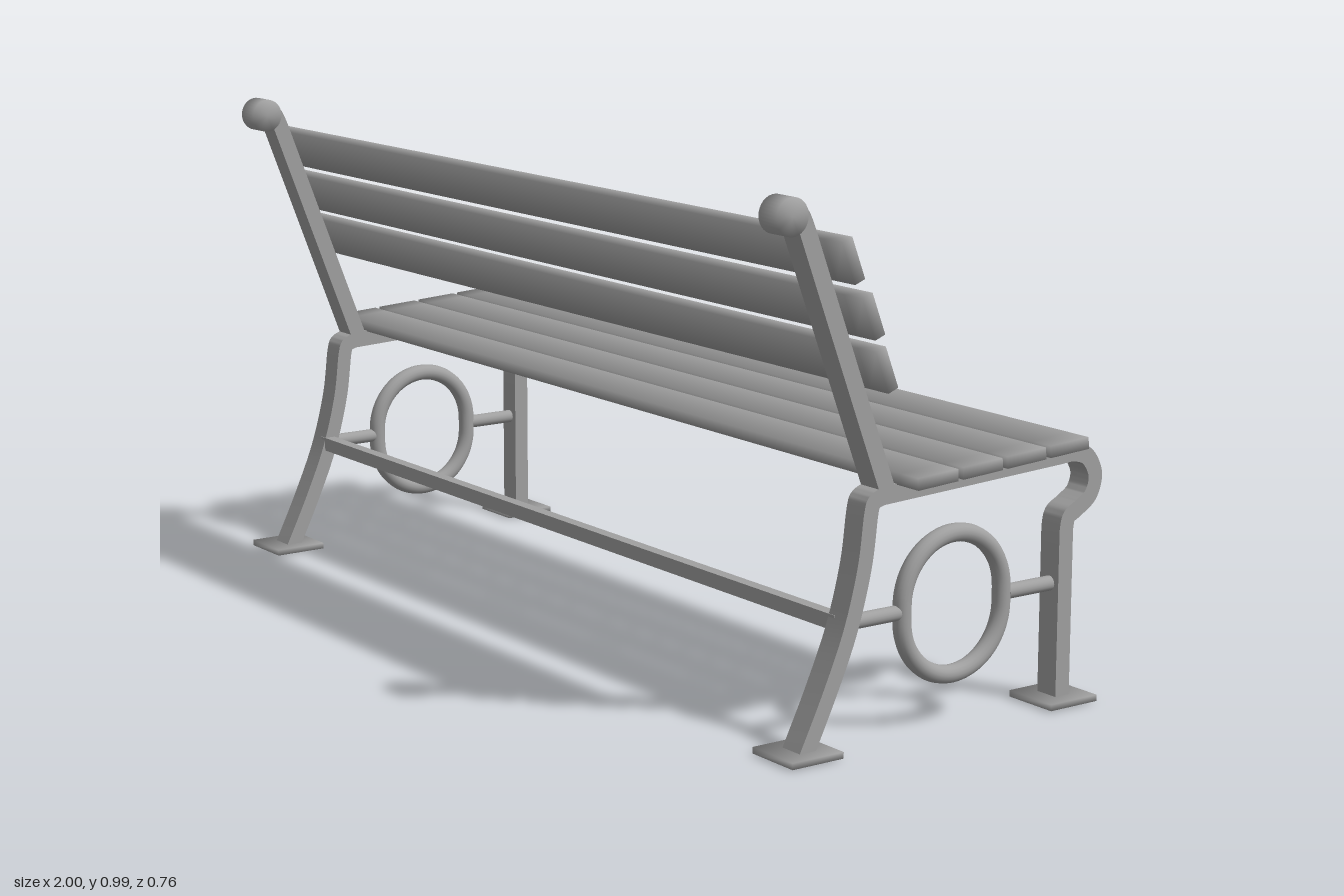
import * as THREE from 'three';
import { toCreasedNormals } from 'three/addons/utils/BufferGeometryUtils.js';

const material = new THREE.MeshStandardMaterial({ color: 0xa0a0a0 }); // dark grey paint
const BAR = 0.049; // width of the frame bars along x

// Soft shading: every corner shares one normal, the mean of the distinct faces meeting there
function soften(geo) {
  const pos = geo.attributes.position, nor = geo.attributes.normal;
  const corners = new Map();
  const keyOf = (i) => [pos.getX(i), pos.getY(i), pos.getZ(i)].map((c) => Math.round(c * 1e4)).join();
  for (let i = 0; i < pos.count; i++) {
    const n = new THREE.Vector3().fromBufferAttribute(nor, i);
    const key = keyOf(i);
    if (!corners.has(key)) corners.set(key, []);
    const list = corners.get(key);
    if (!list.some((m) => m.dot(n) > 0.85)) list.push(n);
  }
  for (let i = 0; i < pos.count; i++) {
    const sum = new THREE.Vector3();
    corners.get(keyOf(i)).forEach((n) => sum.add(n));
    sum.normalize();
    nor.setXYZ(i, sum.x, sum.y, sum.z);
  }
  return geo;
}

function part(name, geometry, parent, x = 0, y = 0, z = 0) {
  const mesh = new THREE.Mesh(geometry, material);
  mesh.name = name;
  mesh.position.set(x, y, z);
  parent.add(mesh);
  return mesh;
}

const v = (z, y) => new THREE.Vector2(z, y);
const smooth = (pts, n) => new THREE.SplineCurve(pts).getPoints(n);

// Flat bar of constant thickness following (z, y) centre points, extruded along x
function bar(points, thickness) {
  const left = [], right = [];
  points.forEach((p, i) => {
    const a = points[Math.max(i - 1, 0)], b = points[Math.min(i + 1, points.length - 1)];
    const t = b.clone().sub(a).normalize();
    const n = new THREE.Vector2(-t.y, t.x).multiplyScalar(thickness / 2);
    left.push(p.clone().add(n));
    right.push(p.clone().sub(n));
  });
  const shape = new THREE.Shape([...left, ...right.reverse()]);
  const geo = new THREE.ExtrudeGeometry(shape, { depth: BAR, bevelEnabled: false });
  geo.translate(0, 0, -BAR / 2).rotateY(-Math.PI / 2);
  return toCreasedNormals(geo, 0.6);
}

// Round tube bent into an oval with short straight sides
function ovalRing() {
  const points = [];
  for (let i = 0; i < 48; i++) {
    const a = ((i + 0.5) / 48) * Math.PI * 2;
    const y = 0.221 + 0.116 * Math.sin(a) + 0.014 * Math.sign(Math.sin(a));
    points.push(new THREE.Vector3(0, y, -0.042 + 0.116 * Math.cos(a)));
  }
  return new THREE.TubeGeometry(new THREE.CatmullRomCurve3(points, true), 96, 0.017, 16, true);
}

function sideFrame() {
  const frame = new THREE.Group();

  // Curved rear leg, rounding over into the seat rail
  const rearLeg = smooth([v(0.305, 0.005), v(0.254, 0.11), v(0.21, 0.215), v(0.18, 0.325),
    v(0.167, 0.42), v(0.158, 0.44), v(0.137, 0.447)], 40);
  part('rearLeg', bar(rearLeg, 0.032), frame);

  // Seat rail, front curl and straight front leg
  const curl = smooth([v(-0.285, 0.467), v(-0.31, 0.467), v(-0.34, 0.455), v(-0.359, 0.42), v(-0.349, 0.384),
    v(-0.32, 0.363), v(-0.297, 0.349), v(-0.291, 0.325)], 48);
  const rail = [v(0.14, 0.447), v(-0.27, 0.466), ...curl, v(-0.291, 0.3), v(-0.291, 0.005)];
  part('seatRailAndFrontLeg', bar(rail, 0.033), frame);

  // Sloping back post with a rolled top
  const post = [v(0.128, 0.447), v(0.313, 0.926), ...smooth([v(0.319, 0.94), v(0.328, 0.955), v(0.343, 0.964)], 8)];
  part('backPost', bar(post, 0.034), frame);
  const roll = new THREE.CylinderGeometry(0.034, 0.034, BAR + 0.001, 32).rotateZ(Math.PI / 2);
  part('postRoll', soften(roll), frame, 0, 0.953, 0.346);

  // Oval ring and the two rods that hold it
  part('ovalRing', ovalRing(), frame);
  for (const [name, z0, z1] of [['rearRod', 0.085, 0.212], ['frontRod', -0.285, -0.168]]) {
    const rod = new THREE.CylinderGeometry(0.014, 0.014, z1 - z0, 20).rotateX(Math.PI / 2);
    part(name, rod, frame, 0, 0.223, (z0 + z1) / 2);
  }

  // Foot plates
  for (const [name, z] of [['rearFoot', 0.304], ['frontFoot', -0.291]])
    part(name, soften(new THREE.BoxGeometry(0.114, 0.012, 0.112)), frame, 0, 0.006, z);
  return frame;
}

export function createModel() {
  const bench = new THREE.Group();
  bench.name = 'bench';

  for (const [name, x] of [['leftFrame', 0.908], ['rightFrame', -0.908]]) {
    const frame = sideFrame();
    frame.name = name;
    frame.position.x = x;
    bench.add(frame);
  }

  // Seat slats, rising slightly towards the front edge
  for (let i = 0; i < 4; i++) {
    const slat = part('seatSlat', soften(new THREE.BoxGeometry(1.99, 0.022, 0.091, 40)), bench,
      -0.004, 0.477 + i * 0.0062, 0.066 - i * 0.102);
    slat.rotation.x = 0.058;
  }

  // Back slats, leaning with the posts
  for (let i = 0; i < 3; i++) {
    const slat = part('backSlat', soften(new THREE.BoxGeometry(1.99, 0.08, 0.023, 40)), bench,
      i === 1 ? 0.005 : -0.004, 0.879 - i * 0.0975, 0.261 - i * 0.038);
    slat.rotation.x = 0.37;
  }

  // Long stretcher between the rear legs
  part('stretcher', new THREE.BoxGeometry(1.8, 0.028, 0.024), bench, 0, 0.224, 0.209);
  return bench;
}
